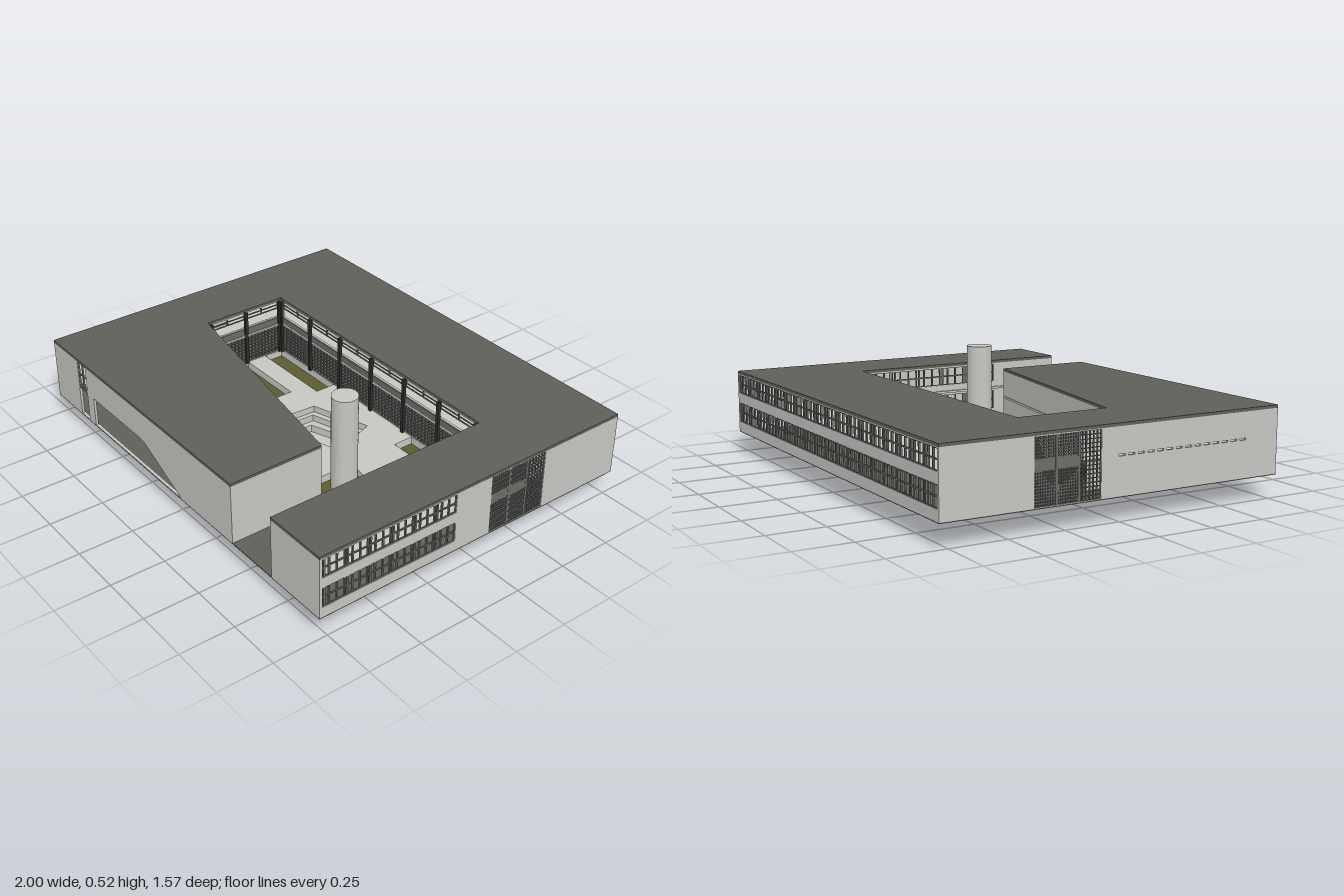
import * as THREE from 'three';
import { mergeGeometries } from 'three/addons/utils/BufferGeometryUtils.js';

const material = (name, color) => {
  const m = new THREE.MeshStandardMaterial({ color, side: THREE.DoubleSide });
  m.name = name;
  return m;
};

export function createModel() {
  const root = new THREE.Group();
  const concrete = material('pale concrete', 0xc6c6c2);
  const roofGrey = material('roof grey', 0x5f5f5a);
  const grass = material('grass olive', 0x5c5b31);
  const frame = material('window frame grey', 0x6c6c69);
  const black = material('black steel', 0x2e2e2c);
  const D = 0.787, F = 0.1, T = 0.375; // half depth, floor level, wall top

  const add = (geo, mat, name, parent = root) => {
    const mesh = new THREE.Mesh(geo, mat);
    mesh.name = name;
    parent.add(mesh);
    return mesh;
  };
  const shapeOf = pts => new THREE.Shape(pts.map(p => new THREE.Vector2(...p)));
  const box = (x0, x1, y0, y1, z0, z1) =>
    new THREE.BoxGeometry(x1 - x0, y1 - y0, z1 - z0)
      .translate((x0 + x1) / 2, (y0 + y1) / 2, (z0 + z1) / 2);

  // Horizontal plate from an x,z outline
  function slab(name, pts, y0, y1, mat, holes = []) {
    const flip = list => list.map(([x, z]) => [x, -z]);
    const s = shapeOf(flip(pts));
    s.holes = holes.map(h => shapeOf(flip(h)));
    const g = new THREE.ExtrudeGeometry(s, { depth: y1 - y0, bevelEnabled: false });
    return add(g.rotateX(-Math.PI / 2).translate(0, y0, 0), mat, name);
  }

  // Upright wall from a to b with holes in (distance, height); outside is local +z
  function wall(name, a, b, holes = [], mat = concrete, y0 = F, y1 = T, t = 0.012) {
    const dx = b[0] - a[0], dz = b[1] - a[1], len = Math.hypot(dx, dz);
    const group = new THREE.Group();
    group.name = name;
    group.position.set(a[0], 0, a[1]);
    group.rotation.y = -Math.atan2(dz, dx);
    const s = shapeOf([[0, y0], [len, y0], [len, y1], [0, y1]]);
    s.holes = holes.map(shapeOf);
    const g = new THREE.ExtrudeGeometry(s, { depth: t, bevelEnabled: false });
    add(g.translate(0, 0, -t), mat, name + 'Panel', group);
    root.add(group);
    return group;
  }
  const rect = (u0, u1, y0, y1) => [[u0, y0], [u1, y0], [u1, y1], [u0, y1]];

  // Grid of bars filling a wall opening
  function bars(parent, name, u0, u1, y0, y1, nu, ny, w, mat = frame) {
    const list = [];
    for (let i = 0; i <= nu; i++) {
      const u = u0 + (u1 - u0) * i / nu;
      list.push(box(u - w / 2, u + w / 2, y0, y1, -0.01, -0.002));
    }
    for (let j = 0; j <= ny; j++) {
      const y = y0 + (y1 - y0) * j / ny;
      list.push(box(u0, u1, y - w / 2, y + w / 2, -0.009, -0.003));
    }
    add(mergeGeometries(list), mat, name, parent);
  }
  const ROWS = [[0.147, 0.237], [0.285, 0.37]];
  const rowHoles = (u0, u1) => ROWS.map(([y0, y1]) => rect(u0, u1, y0, y1));
  const rowBars = (parent, u0, u1, n) => ROWS.forEach(([y0, y1]) => {
    bars(parent, 'windowFrames', u0, u1, y0, y1, n, 2, 0.006);
    for (let i = 0; i < n; i += 3) { // narrow opening sashes
      const u = u0 + (u1 - u0) * (i + 0.35) / n;
      add(box(u - 0.004, u + 0.004, y0, y1, -0.01, -0.002), frame, 'sash', parent);
    }
  });

  // Roof, upper floor and ground floor
  const ring = [[-1, -D], [1, -D], [1, D], [0.695, D], [0.695, -0.28], [-0.705, -0.28],
    [-0.705, 0.14], [0.43, 0.34], [0.43, D], [-1, D]];
  slab('roof', ring, T, 0.388, roofGrey);
  slab('upperFloor', ring.map(([x, z]) => [x * 0.985, z * 0.985]), 0.246, 0.256, concrete);
  const court = [[-0.705, -0.28], [0.695, -0.28], [0.695, 0.565], [0.43, 0.565], [0.43, 0.34], [-0.705, 0.14]];
  slab('groundFloor', [[-1, -D], [1, -D], [1, D], [-1, D]], 0.096, F, roofGrey, [court]);

  // Stepped sunken seating in the paved courtyard
  const pit = [
    [[-0.205, 0.165], [-0.19, -0.09], [0.09, -0.18], [0.17, 0.04]],
    [[-0.18, 0.15], [-0.17, -0.07], [0.085, -0.15], [0.138, 0.045]],
    [[-0.15, 0.137], [-0.145, -0.04], [0.06, -0.115], [0.11, 0.05]]];
  slab('paving', [[-0.285, -0.28], [0.28, -0.28], [0.28, -0.18], [0.695, -0.18], [0.695, 0.13],
    [0.44, 0.085], [0.44, 0.175], [0.425, 0.175], [0.425, 0.085], [0.28, 0.06], [0.28, 0.314],
    [-0.355, 0.202], [-0.355, -0.08], [-0.705, -0.08], [-0.705, -0.18], [-0.285, -0.18]],
  0.096, F, concrete, [pit[0]]);
  const edges = (pts, fn) => pts.forEach((p, i) => fn(p, pts[(i + 1) % pts.length]));
  pit.forEach((pts, i) => {
    const top = [0.1, 0.066, 0.035][i], low = [0.066, 0.035, 0][i];
    edges(pts, (a, b) => wall('pitRiser', a, b, [], concrete, low, top, 0.003));
    slab('pitTread', pts, low, low + 0.003, concrete, i < 2 ? [pit[i + 1]] : []);
  });

  // Sunken lawns, listed clockwise seen from above
  const lawns = [
    [[-0.705, -0.28], [-0.285, -0.28], [-0.285, -0.18], [-0.705, -0.18]],
    [[0.28, -0.28], [0.695, -0.28], [0.695, -0.18], [0.28, -0.18]],
    [[-0.705, -0.08], [-0.355, -0.08], [-0.355, 0.202], [-0.705, 0.14]],
    [[0.28, 0.06], [0.425, 0.085], [0.425, 0.175], [0.44, 0.175], [0.44, 0.085], [0.695, 0.13],
      [0.695, 0.565], [0.43, 0.565], [0.43, 0.34], [0.28, 0.314]]];
  lawns.forEach((pts, i) => {
    slab('lawn', pts, 0.06, 0.064, grass);
    edges(pts, (a, b) => {
      const dark = b[0] - a[0] < -0.05 || (i === 3 && b[1] - a[1] > 0.3);
      wall('lawnEdge', a, b, [], dark ? roofGrey : concrete, 0.06, F, 0.003);
    });
  });
  wall('lawnKerb', [0.43, 0.565], [0.695, 0.565], [], concrete, 0.09, 0.103, 0.006);

  // Round tower
  add(new THREE.CylinderGeometry(0.058, 0.058, 0.46, 32).translate(0.352, 0.29, 0.16), concrete, 'tower');

  // Front wall with tall door and tapered entrance
  const front = wall('frontWall', [-1, D], [0.43, D], [
    rect(0.215, 0.285, 0.102, 0.372),
    [[0.34, 0.102], [1.05, 0.102], [0.82, 0.212], [0.775, 0.233], [0.73, 0.24], [0.34, 0.24]]]);
  bars(front, 'doorFrame', 0.215, 0.285, 0.25, 0.372, 2, 2, 0.005);
  add(box(0.215, 0.285, 0.238, 0.25, -0.012, -0.002), frame, 'doorTransom', front);
  wall('frontRightWall', [0.695, D], [1, D]);
  const recess = wall('entranceBackWall', [-0.36, 0.68], [0.2, 0.68], [rect(0.17, 0.22, 0.102, 0.19)], concrete, F, 0.246);
  bars(recess, 'innerDoor', 0.17, 0.22, 0.102, 0.19, 1, 1, 0.005);

  // Entrance stairs
  const stairs = [];
  for (let i = 0; i < 10; i++) {
    const x = -0.62 + i * 0.024;
    stairs.push(box(x, x + 0.028, 0.165 - i * 0.006, 0.175 - i * 0.006, 0.5, 0.58));
    stairs.push(box(x, x + 0.028, 0.222 - i * 0.005, 0.234 - i * 0.005, 0.4, 0.48));
  }
  for (const x of [-0.65, -0.62, -0.56, -0.43]) stairs.push(box(x - 0.006, x + 0.006, F, 0.24, 0.52, 0.532));
  stairs.push(box(-0.43, -0.36, 0.15, 0.19, 0.42, 0.56), box(-0.65, -0.36, 0.13, 0.138, 0.56, 0.57));
  add(mergeGeometries(stairs), black, 'entranceStairs');

  // Outer right wall: two window rows and a passage grille
  const right = wall('rightWall', [1, D], [1, -D],
    [...rowHoles(0.012, 0.67), rect(0.857, 1.15, 0.102, 0.372)]);
  rowBars(right, 0.012, 0.67, 18);
  const grille = (parent, u0, u1) => {
    const s = (u1 - u0) / 3;
    bars(parent, 'denseGrille', u0, u0 + 2 * s, 0.102, 0.372, 18, 22, 0.005);
    bars(parent, 'lightGrille', u0 + 2 * s, u1, 0.102, 0.372, 6, 16, 0.003);
    for (const u of [u0 + s, u0 + 2 * s])
      add(box(u - 0.006, u + 0.006, 0.102, 0.372, -0.011, -0.001), frame, 'grillePost', parent);
    add(box(u0, u0 + 2 * s, 0.24, 0.285, -0.009, -0.002), frame, 'grilleBand', parent);
  };
  grille(right, 0.857, 1.15);

  // Back wall: continuous window rows
  const back = wall('backWall', [1, -D], [-1, -D], rowHoles(0.012, 1.988));
  rowBars(back, 0.012, 1.988, 54);

  // Outer left wall: grille and a line of slits
  const slits = [];
  for (let i = 0; i < 14; i++) slits.push(rect(0.78 + i * 0.046, 0.81 + i * 0.046, 0.258, 0.266));
  const left = wall('leftWall', [-1, -D], [-1, D], [rect(0.4, 0.7, 0.102, 0.372), ...slits]);
  grille(left, 0.4, 0.7);

  // Courtyard galleries: glazed below, solid band, railed opening above
  function gallery(name, a, b, u0, u1, n) {
    const g = wall(name, a, b, [rect(u0, u1, 0.102, 0.24), rect(u0, u1, 0.29, 0.37)]);
    bars(g, 'lowerGlazing', u0, u1, 0.102, 0.24, n * 10, 8, 0.004);
    bars(g, 'upperRail', u0, u1, 0.335, 0.37, n * 2, 2, 0.004);
    add(box(u0, u1, 0.245, 0.288, -0.002, 0.004), frame, 'balconyBand', g);
    for (let i = 0; i <= n; i++) {
      const u = u0 + (u1 - u0) * i / n;
      add(box(u - 0.008, u + 0.008, F, T, 0, 0.014), black, 'column', g);
    }
  }
  gallery('backGallery', [-0.705, -0.28], [0.695, -0.28], 0.015, 1.385, 6);
  gallery('leftGallery', [-0.705, 0.14], [-0.705, -0.28], 0.015, 0.405, 2);
  const inner = wall('rightCourtWall', [0.695, -0.28], [0.695, D], rowHoles(0.03, 0.72));
  rowBars(inner, 0.03, 0.72, 16);

  // Slanted courtyard wall of the front wing and its end wall
  wall('slantedCourtWall', [0.43, 0.34], [-0.705, 0.14],
    [[[0.62, 0.102], [1.1, 0.102], [1.1, 0.24], [0.85, 0.24]]]);
  wall('frontWingEnd', [0.43, D], [0.43, 0.34]);

  // Inner partitions behind the windows
  wall('rightPartition', [0.86, D], [0.86, -0.06]);
  wall('backPartition', [0.98, -0.52], [-0.98, -0.52]);
  wall('leftPartition', [-0.86, -0.06], [-0.86, 0.6]);

  return root;
}
